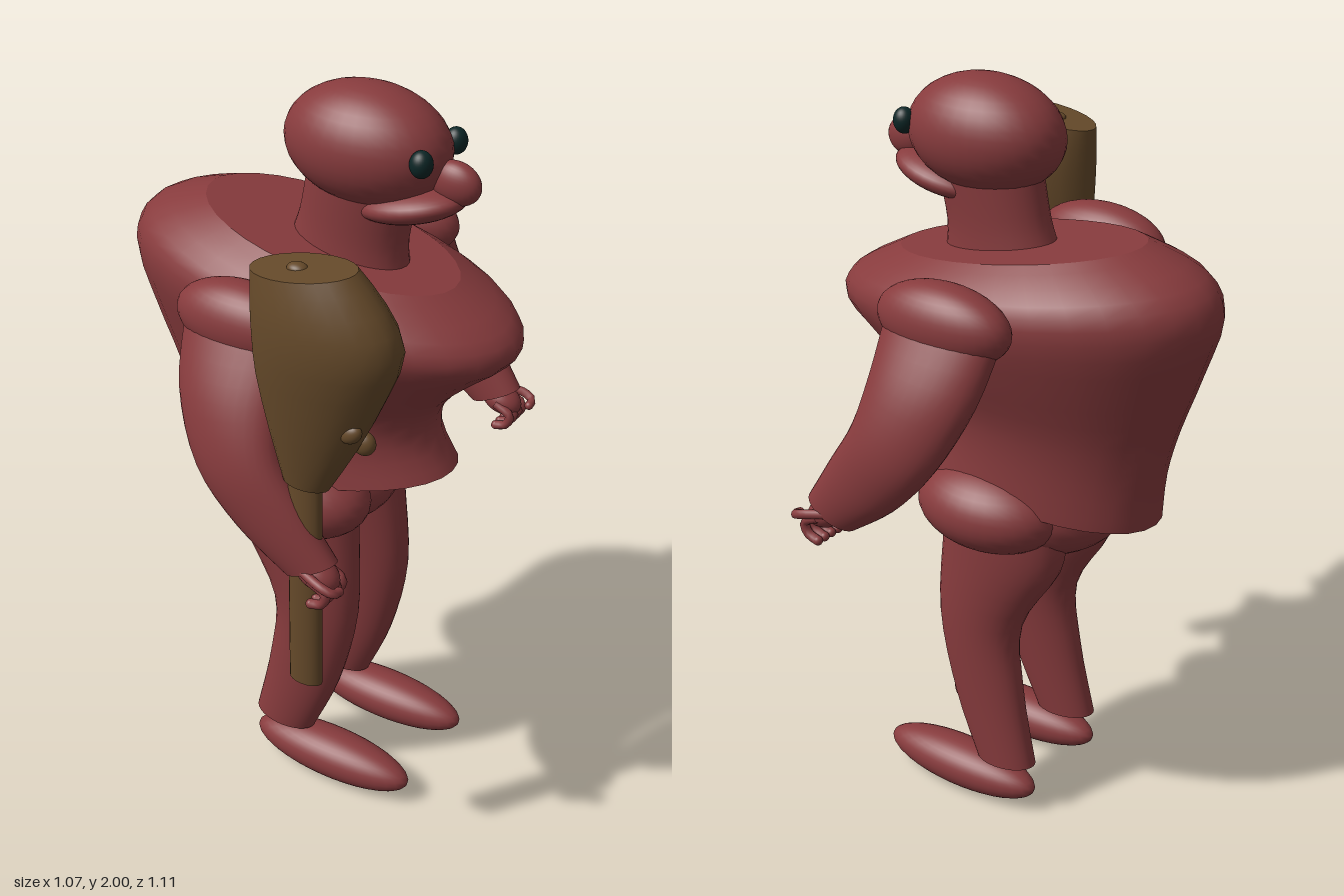
import * as THREE from 'three';

const skin = new THREE.MeshStandardMaterial({ color: 0x873b3d });
skin.name = 'red skin';
const wood = new THREE.MeshStandardMaterial({ color: 0x664a2a });
wood.name = 'brown wood';
const eyeDark = new THREE.MeshStandardMaterial({ color: 0x0c2626 });
eyeDark.name = 'dark eye';

// Catmull-Rom between list rows, so a few sections give a smooth limb
function refine(rows, steps) {
  const out = [];
  for (let i = 0; i < rows.length - 1; i++) {
    const p0 = rows[Math.max(i - 1, 0)], p1 = rows[i], p2 = rows[i + 1];
    const p3 = rows[Math.min(i + 2, rows.length - 1)];
    for (let s = 0; s < steps; s++) {
      const t = s / steps;
      out.push(p1.map((v, k) => {
        const linear = p2[k] - p0[k];
        const square = 2 * p0[k] - 5 * v + 4 * p2[k] - p3[k];
        const cube = 3 * (v - p2[k]) + p3[k] - p0[k];
        return v + 0.5 * t * (linear + t * (square + t * cube));
      }));
    }
  }
  out.push(rows[rows.length - 1]);
  return out;
}

// Capped loft through elliptical sections, bottom to top: [x, y, z, rx, rz, slope along x]
function loft(name, rows, material, steps = 4, sides = 32) {
  const sections = refine(rows, steps), pos = [], idx = [];
  const ring = ([x, y, z, rx, rz, slope]) => {
    for (let j = 0; j < sides; j++) {
      const a = (j / sides) * Math.PI * 2, dx = rx * Math.cos(a);
      pos.push(x + dx, y + slope * dx, z + rz * Math.sin(a));
    }
  };
  sections.forEach(ring);
  for (let i = 0; i < sections.length - 1; i++) {
    for (let j = 0; j < sides; j++) {
      const a = i * sides + j, b = i * sides + (j + 1) % sides;
      idx.push(a, a + sides, b, b, a + sides, b + sides);
    }
  }
  // Caps have their own vertices, which keeps the rims sharp
  for (const top of [false, true]) {
    const s = top ? sections[sections.length - 1] : sections[0];
    const start = pos.length / 3;
    ring(s);
    pos.push(s[0], s[1], s[2]);
    for (let j = 0; j < sides; j++) {
      const p = start + j, q = start + (j + 1) % sides;
      idx.push(start + sides, top ? q : p, top ? p : q);
    }
  }
  const g = new THREE.BufferGeometry();
  g.setAttribute('position', new THREE.Float32BufferAttribute(pos, 3));
  g.setIndex(idx);
  g.computeVertexNormals();
  const m = new THREE.Mesh(g, material);
  m.name = name;
  return m;
}

function ball(name, [x, y, z], [rx, ry, rz], material = skin, tilt = 0) {
  const m = new THREE.Mesh(new THREE.SphereGeometry(1, 32, 20), material);
  m.name = name;
  m.position.set(x, y, z);
  m.scale.set(rx, ry, rz);
  m.rotation.z = tilt;
  return m;
}

function finger(name, points, radius) {
  const curve = new THREE.CatmullRomCurve3(points.map(p => new THREE.Vector3(...p)));
  const g = new THREE.Group();
  g.name = name;
  const m = new THREE.Mesh(new THREE.TubeGeometry(curve, 8, radius, 10), skin);
  m.name = name + 'Tube';
  g.add(m, ball(name + 'Tip', points[points.length - 1], [radius, radius, radius]));
  return g;
}

function addHead(body) {
  body.add(
    loft('neck', [
      [0.075, 1.55, 0, 0.165, 0.095, -0.16],
      [0.085, 1.64, 0, 0.145, 0.088, -0.12],
      [0.11, 1.76, 0, 0.15, 0.09, 0]], skin),
    ball('head', [0.12, 1.855, 0], [0.215, 0.145, 0.144]),
    ball('muzzle', [0.24, 1.735, 0], [0.145, 0.045, 0.105], skin, 0.22),
    ball('nose', [0.355, 1.808, 0], [0.065, 0.053, 0.036], skin, -0.15),
    ball('rightEye', [0.308, 1.872, 0.081], [0.028, 0.033, 0.027], eyeDark),
    ball('leftEye', [0.308, 1.872, -0.081], [0.028, 0.033, 0.027], eyeDark));
}

function addLimbs(body, s, side) {
  // Leg: hip, bent leg and long flat foot
  body.add(
    ball(side + 'Hip', [0.015, 0.93, s * 0.15], [0.205, 0.115, 0.14]),
    loft(side + 'Leg', [
      [-0.03, 0.147, s * 0.147, 0.09, 0.053, -0.08],
      [0.03, 0.35, s * 0.14, 0.105, 0.062, -0.22],
      [0.06, 0.57, s * 0.132, 0.125, 0.075, 0],
      [0, 0.8, s * 0.118, 0.175, 0.093, 0.2],
      [-0.01, 0.93, s * 0.11, 0.18, 0.1, 0.2]], skin),
    ball(side + 'Foot', [0.122, 0.072, s * 0.147], [0.243, 0.067, 0.075]));

  // Arm: shoulder and tapering, forward-bent arm
  body.add(
    ball(side + 'Shoulder', [0, 1.505, s * 0.342], [0.187, 0.098, 0.086]),
    loft(side + 'Arm', [
      [0.262, 0.98, s * 0.47, 0.068, 0.046, 0.5],
      [0.155, 1.09, s * 0.477, 0.093, 0.057, 0.5],
      [0.06, 1.215, s * 0.47, 0.115, 0.066, 0.35],
      [0.01, 1.36, s * 0.415, 0.145, 0.078, 0.15],
      [0, 1.5, s * 0.34, 0.165, 0.075, 0]], skin));

  // Hand: palm, curled fingers and an outstretched thumb
  const hand = new THREE.Group();
  hand.name = side + 'Hand';
  hand.add(ball(side + 'Palm', [0.28, 0.97, s * 0.47], [0.06, 0.038, 0.044], skin, -0.4));
  for (let i = 0; i < 4; i++) {
    const z = s * (0.433 + i * 0.025);
    hand.add(finger(side + 'Finger' + (i + 1),
      [[0.28, 0.97, z], [0.325, 0.945, z], [0.315, 0.915, z], [0.285, 0.904, z]], 0.0125));
  }
  hand.add(finger(side + 'Thumb', [[0.26, 0.985, s * 0.505], [0.32, 0.975, s * 0.522],
    [0.35, 0.963, s * 0.515], [0.353, 0.957, s * 0.493]], 0.012));
  body.add(hand);
}

function makeClub() {
  const club = new THREE.Group();
  club.name = 'club';
  const z = 0.452;
  club.add(
    loft('clubHandle', [
      [0.246, 0.63, z, 0.045, 0.025, 0],
      [0.246, 1.25, z, 0.045, 0.025, 0]], wood, 1, 20),
    loft('clubHead', [
      [0.25, 1.215, z, 0.06, 0.034, 0],
      [0.27, 1.35, z, 0.115, 0.064, 0],
      [0.29, 1.5, z, 0.166, 0.091, 0.03],
      [0.304, 1.605, z, 0.187, 0.104, 0.08],
      [0.28, 1.69, z, 0.165, 0.098, 0.12],
      [0.245, 1.765, z, 0.13, 0.078, 0.15]], wood, 2, 24),
    ball('frontKnot', [0.39, 1.415, 0.49], [0.03, 0.022, 0.018], wood, 0.6),
    ball('lowerKnot', [0.385, 1.355, 0.425], [0.03, 0.03, 0.022], wood, 0.6),
    ball('topKnot', [0.23, 1.76, z], [0.025, 0.014, 0.02], wood));
  return club;
}

export function createModel() {
  const model = new THREE.Group();
  model.name = 'clubBearer';
  const body = new THREE.Group();
  body.name = 'body';
  body.position.z = -0.018;

  // Deep barrel torso, bent forward at the chest
  body.add(loft('torso', [
    [-0.005, 0.98, 0, 0.387, 0.214, 0.128],
    [-0.035, 1.09, 0, 0.368, 0.205, 0.08],
    [-0.045, 1.2, 0, 0.39, 0.216, 0.03],
    [-0.025, 1.33, 0, 0.465, 0.262, -0.04],
    [0, 1.45, 0, 0.533, 0.297, -0.1],
    [0.01, 1.53, 0, 0.49, 0.278, -0.13],
    [0.02, 1.598, 0, 0.345, 0.192, -0.16]], skin, 3));
  body.add(ball('pelvis', [-0.035, 0.92, 0], [0.245, 0.148, 0.21]));
  addHead(body);
  addLimbs(body, 1, 'right');
  addLimbs(body, -1, 'left');

  model.add(body, makeClub());
  return model;
}
